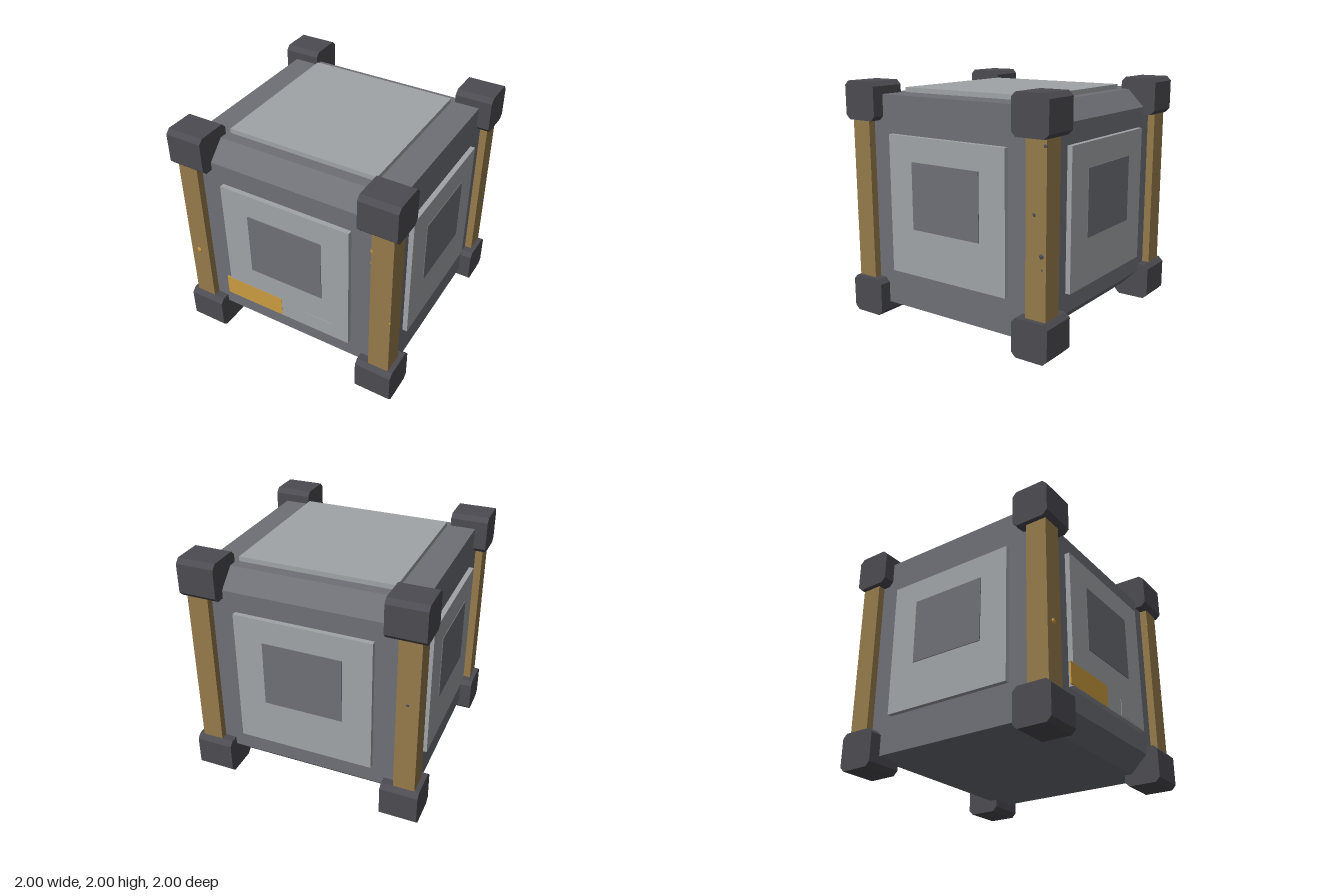
import * as THREE from 'three';

const material = (name, color) => {
  const m = new THREE.MeshStandardMaterial({ color });
  m.name = name;
  return m;
};

export function createModel() {
  const crate = new THREE.Group();
  crate.name = 'crate';
  const grey = material('mid grey', 0x6e7076);
  const light = material('light grey', 0xa0a4a6);
  const dark = material('dark grey', 0x4c4b51);
  const bronze = material('bronze', 0x957a4a);
  const amber = material('amber', 0xcb9b40);
  const slate = material('slate', 0x4c4f57);

  const add = (parent, name, geometry, mat, x, y, z) => {
    const mesh = new THREE.Mesh(geometry, mat);
    mesh.name = name;
    mesh.position.set(x, y, z);
    parent.add(mesh);
    return mesh;
  };
  const box = (w, h, d) => new THREE.BoxGeometry(w, h, d);

  // Block whose four edges along x are chamfered, centred on the origin
  const chamferedBlock = (half, cut) => {
    const a = half, b = half - cut;
    const shape = new THREE.Shape([
      [a, -b], [a, b], [b, a], [-b, a], [-a, b], [-a, -b], [-b, -a], [b, -a],
    ].map(([x, y]) => new THREE.Vector2(x, y)));
    return new THREE.ExtrudeGeometry(shape, { depth: half * 2, bevelEnabled: false })
      .translate(0, 0, -half).rotateY(Math.PI / 2);
  };

  // Core and lid plate
  add(crate, 'body', chamferedBlock(0.896, 0.148), grey, 0, 1, 0);
  add(crate, 'topPanel', box(1.306, 0.06, 1.306), light, 0, 1.906, 0);

  // Corner guards and upright posts
  const guard = chamferedBlock(0.16, 0.038);
  const post = box(0.18, 1.4, 0.18);
  for (const x of [-1, 1]) {
    for (const z of [-1, 1]) {
      add(crate, 'post', post, bronze, x * 0.87, 1, z * 0.87);
      for (const y of [0.16, 1.84]) add(crate, 'cornerGuard', guard, dark, x * 0.84, y, z * 0.84);
    }
  }

  // Raised panel with a smaller inset plate on each of the four sides
  for (let i = 0; i < 4; i++) {
    const side = new THREE.Group();
    side.name = 'sidePanel';
    side.rotation.y = i * Math.PI / 2;
    add(side, 'panel', box(1.16, 1.16, 0.06), light, 0, 1, 0.908);
    add(side, 'insetPlate', box(0.672, 0.56, 0.02), grey, 0, 1.096, 0.935);
    crate.add(side);
  }

  // Front label plates
  add(crate, 'amberLabel', box(0.56, 0.184, 0.012), amber, -0.34, 0.516, 0.934);
  add(crate, 'smallLabel', box(0.26, 0.14, 0.012), light, 0.3, 0.5, 0.936);

  // Small wear marks on the posts: x, y, z, radius, material
  const marks = [
    [-0.88, 0.812, 0.96, 0.025, amber],
    [0.785, 1.52, 0.955, 0.017, amber],
    [0.78, 1.4, 0.95, 0.012, amber],
    [0.955, 0.87, 0.96, 0.01, amber],
    [0.96, 1.125, -0.855, 0.014, slate],
    [0.96, 0.822, -0.92, 0.019, slate],
    [0.96, 0.72, -0.925, 0.008, slate],
    [0.955, 1.63, -0.946, 0.019, slate],
    [0.955, 1.48, 0.782, 0.015, slate],
    [-0.87, 1.13, -0.96, 0.012, slate],
  ];
  for (const [x, y, z, r, mat] of marks) {
    const mark = add(crate, 'wearMark', new THREE.SphereGeometry(r, 8, 6), mat, x, y, z);
    // Flatten each mark against the face it sits on
    if (Math.abs(z) >= 0.95) mark.scale.z = 0.4;
    else mark.scale.x = 0.4;
  }

  return crate;
}
